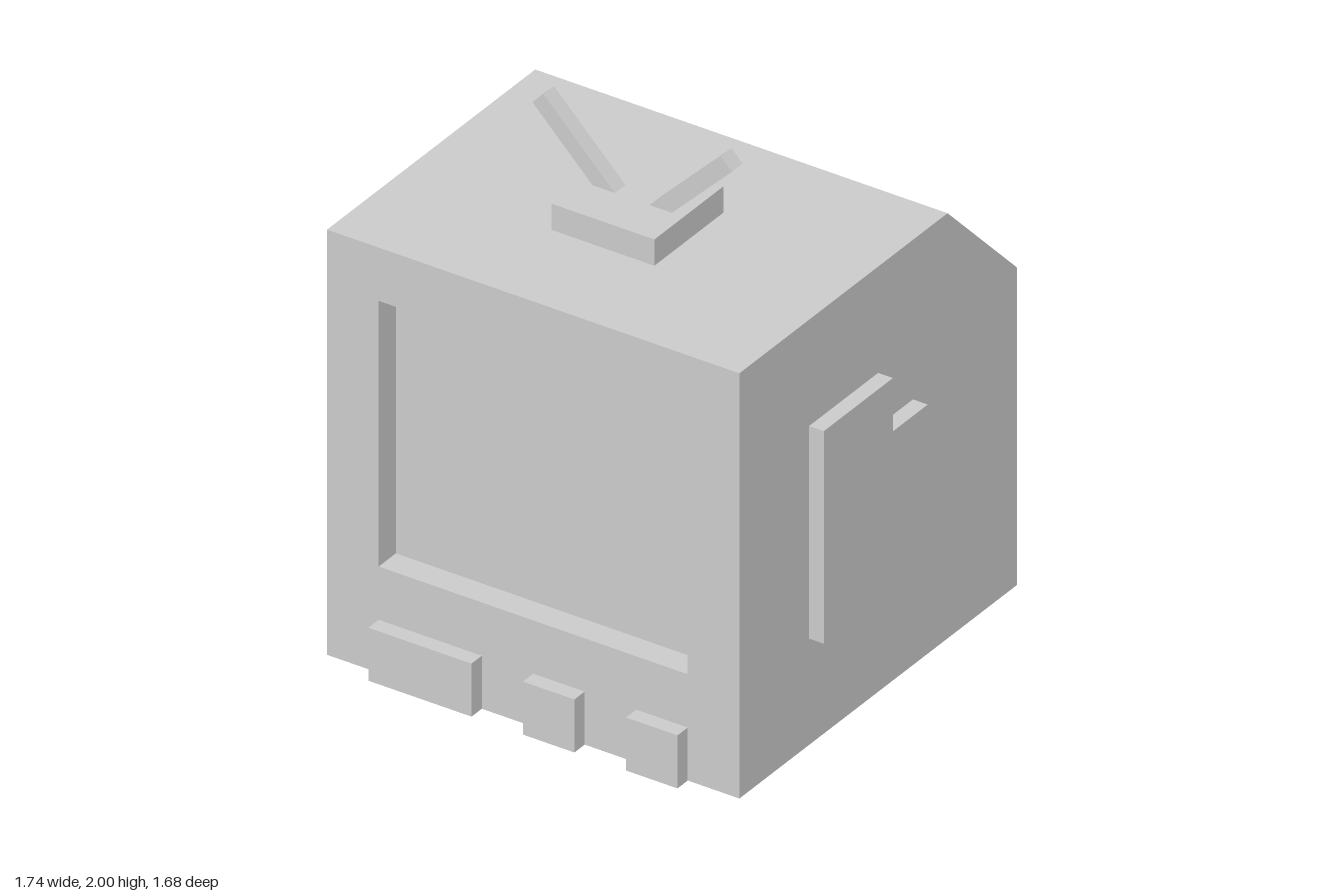
import * as THREE from 'three';

const material = new THREE.MeshStandardMaterial({ color: 0xcccccc, flatShading: true });

function add(parent, name, geometry) {
  const mesh = new THREE.Mesh(geometry, material);
  mesh.name = name;
  parent.add(mesh);
  return mesh;
}

// Box given by its minimum and maximum corners
function block(parent, name, [x0, y0, z0], [x1, y1, z1]) {
  const mesh = add(parent, name, new THREE.BoxGeometry(x1 - x0, y1 - y0, z1 - z0));
  mesh.position.set((x0 + x1) / 2, (y0 + y1) / 2, (z0 + z1) / 2);
  return mesh;
}

// Side profile of [z, y] points (front to back along the bottom first), extruded from x0 to x1
function sideExtrude(points, x0, x1) {
  const shape = new THREE.Shape(points.map(([z, y]) => new THREE.Vector2(-z, y)));
  return new THREE.ExtrudeGeometry(shape, { depth: x1 - x0, bevelEnabled: false })
    .rotateY(Math.PI / 2)
    .translate(x0, 0, 0);
}

export function createModel() {
  const model = new THREE.Group();
  model.name = 'television';
  const halfWidth = 0.81, height = 1.62, front = 0.78, back = -0.84;
  const recess = 0.1, screenZ = front - recess;

  // Cabinet with sloped upper back; its front face is the screen
  add(model, 'cabinet', sideExtrude(
    [[screenZ, 0], [back, 0], [back, 1.21], [-0.435, height], [screenZ, height]],
    -halfWidth, halfWidth));

  // Front frame around the recessed screen
  const frame = new THREE.Shape([
    new THREE.Vector2(-halfWidth, 0), new THREE.Vector2(halfWidth, 0),
    new THREE.Vector2(halfWidth, height), new THREE.Vector2(-halfWidth, height)]);
  frame.holes.push(new THREE.Path([
    new THREE.Vector2(-0.607, 0.405), new THREE.Vector2(-0.607, 1.417),
    new THREE.Vector2(0.607, 1.417), new THREE.Vector2(0.607, 0.405)]));
  add(model, 'screenFrame', new THREE.ExtrudeGeometry(frame, { depth: recess, bevelEnabled: false }))
    .position.z = screenZ;

  // Raised side panels with a tab toward the back
  const panel = [
    [0.373, 0.405], [-0.03, 0.405], [-0.03, 0.607], [-0.233, 0.607],
    [-0.233, 1.012], [-0.03, 1.012], [-0.03, 1.215], [0.373, 1.215]];
  add(model, 'leftSidePanel', sideExtrude(panel, halfWidth, 0.868));
  add(model, 'rightSidePanel', sideExtrude(panel, -0.868, -halfWidth));

  // Control buttons along the bottom of the front
  [[-0.607, -0.202], [0, 0.202], [0.405, 0.607]].forEach(([x0, x1], i) =>
    block(model, `button${i + 1}`, [x0, 0, front], [x1, 0.202, 0.84]));

  // Aerial base with two slanted rods
  const aerial = new THREE.Group();
  aerial.name = 'aerial';
  model.add(aerial);
  block(aerial, 'aerialBase', [-0.202, height, -0.03], [0.202, 1.72, 0.373]);
  for (const side of [1, -1]) {
    const rod = add(aerial, side > 0 ? 'leftRod' : 'rightRod', new THREE.BoxGeometry(0.062, 0.4, 0.062));
    rod.position.set(side * 0.229, 1.837, 0.171);
    rod.rotation.z = -side * Math.PI / 4;
  }
  return model;
}
